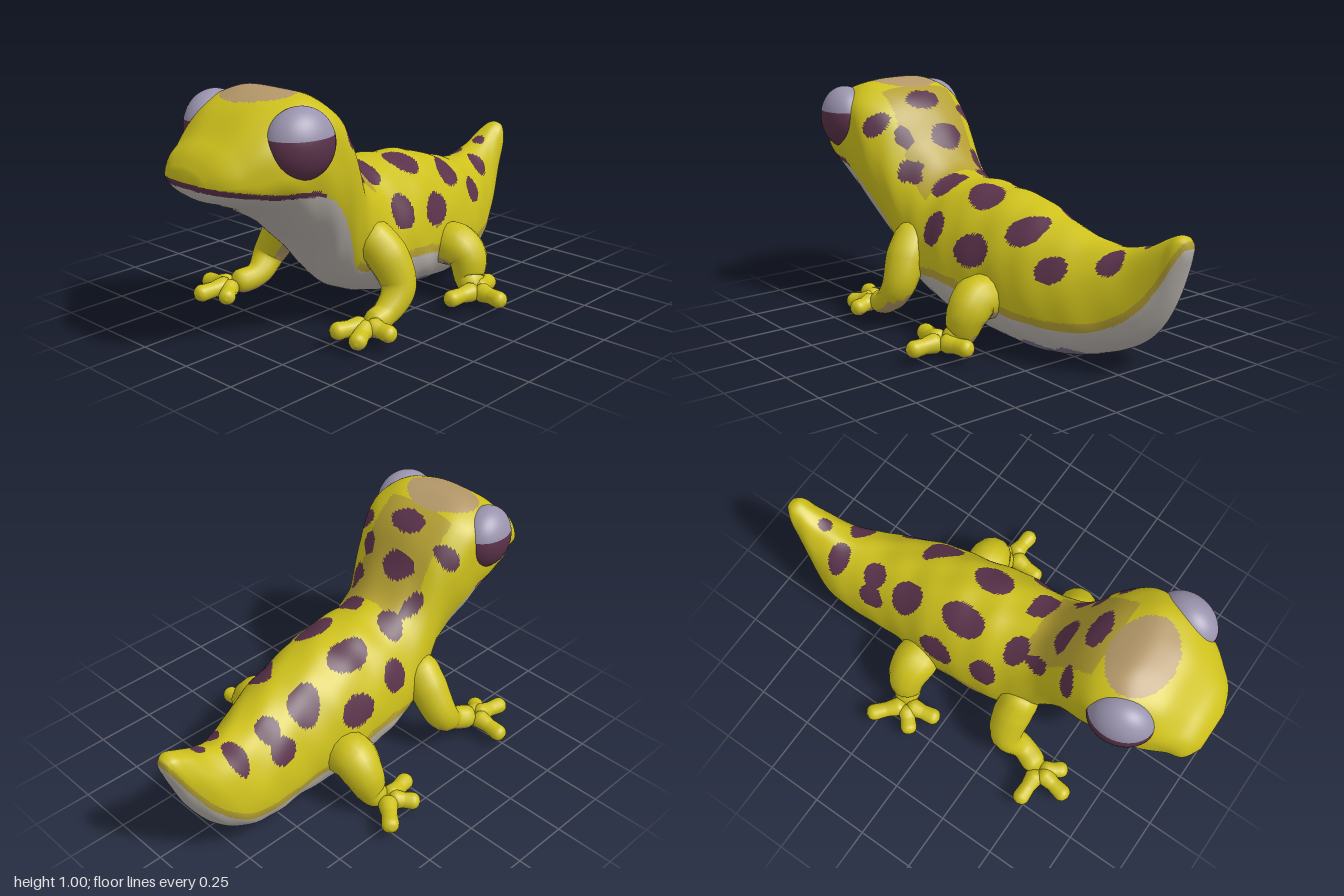
import * as THREE from 'three';
import { mergeVertices } from 'three/addons/utils/BufferGeometryUtils.js';

const COLOURS = {
  yellow: 0xcdc01c, mustard: 0xb5a032, spotPurple: 0x5a324a,
  bellyGrey: 0xb9b3ad, lavender: 0x9a93ae, tan: 0xb39768, underside: 0x77708a,
};
const NAMES = Object.keys(COLOURS);

// Smooth interpolation through rows of [x, ...values]
function profile(rows) {
  const n = rows[0].length - 1;
  const f = new THREE.CubicInterpolant(rows.map(r => r[0]), rows.flatMap(r => r.slice(1)), n, new Float32Array(n));
  return x => Array.from(f.evaluate(x));
}

// Body slices: x, top, bottom, height of widest point, centre z, half width, squareness of the top
const slice = profile([
  [-1, .75, .69, .71, .03, .085, .9], [-.97, .80, .65, .71, .04, .15, .85],
  [-.9, .86, .615, .72, .06, .205, .8], [-.8, .945, .57, .74, .065, .26, .75],
  [-.68, .995, .495, .75, .07, .285, .66], [-.58, .995, .41, .75, .07, .29, .66],
  [-.48, .95, .31, .72, .07, .28, .75], [-.4, .88, .22, .62, .06, .255, .85],
  [-.32, .75, .145, .45, .04, .245, .95], [-.22, .65, .095, .33, .025, .26, 1],
  [0, .625, .045, .26, .015, .275, 1], [.2, .6, .012, .25, -.005, .255, 1],
  [.4, .535, .003, .22, -.01, .228, 1], [.6, .48, .035, .2, -.05, .195, 1],
  [.72, .48, .08, .22, -.08, .162, 1], [.82, .51, .15, .29, -.09, .122, 1],
  [.92, .56, .3, .42, -.092, .075, .9], [.97, .575, .42, .5, -.09, .055, .85], [1, .56, .5, .53, -.09, .028, .8],
]);

// Height of the border between the yellow back and the pale belly
const border = profile([
  [-1, .7], [-.8, .665], [-.6, .635], [-.5, .55], [-.41, .42], [-.33, .26], [-.2, .24], [0, .245],
  [.2, .2], [.4, .165], [.6, .16], [.75, .2], [.85, .28], [.93, .4], [1, .53],
]);

// Spots as [u, v, radius u, radius v], seen along one axis
const SIDE_SPOTS = [[-.09, .44, .06, .068], [.14, .395, .083, .065], [.51, .38, .06, .05], [-.45, .83, .037, .05]];
const LEFT_SPOTS = [[.34, .495, .072, .052], [.71, .43, .05, .042], [-.31, .64, .03, .04], [-.165, .6, .05, .045]];
const TOP_SPOTS = [
  [.07, .1, .09, .065], [.08, -.11, .1, .058], [-.18, -.1, .05, .058], [.35, -.14, .072, .058],
  [.53, -.13, .052, .048], [.71, -.15, .045, .06], [.83, -.08, .028, .03],
];
const BACK_SPOTS = [
  [.06, .92, .085, .035], [.01, .77, .08, .052], [.21, .78, .037, .047], [.22, .64, .036, .046], [-.12, .65, .03, .045],
];
const hit = (spots, u, v) => spots.some(([a, b, r, s]) => ((u - a) / r) ** 2 + ((v - b) / s) ** 2 < 1);

function bodyColour({ x, y, z }, n) {
  const edge = border(x)[0];
  if (x < -.6 && Math.abs(y - edge) < .011) return 'spotPurple'; // mouth line
  if (y < edge) return n.y < -.72 && x > -.25 && x < .6 && y < .08 + .02 * Math.sin(17 * x) ? 'underside' : 'bellyGrey';
  if (Math.abs(n.z) > .3 && hit(SIDE_SPOTS, x, y)) return 'spotPurple';
  if (n.z > .2 && hit(LEFT_SPOTS, x, y)) return 'spotPurple';
  if (x > -.3 && n.y > .15 && hit(TOP_SPOTS, x, z)) return 'spotPurple';
  if (x < -.22 && x > -.62 && n.x > .1 && hit(BACK_SPOTS, z, y)) return 'spotPurple';
  if (x > -.33 && y < edge + .035) return 'mustard';
  if (n.y > .6 && ((x + .64) / .13) ** 2 + ((z - .04) / .17) ** 2 < 1) return 'tan';
  if (x > -.52 && x < -.2 && n.x > .3 && Math.abs(z - .05) < .17) return 'mustard';
  return 'yellow';
}

// Sort triangles into one material group per colour
function paint(geo, pick) {
  const p = geo.attributes.position, idx = geo.index.array;
  const bins = NAMES.map(() => []), t = new THREE.Triangle();
  const c = new THREE.Vector3(), n = new THREE.Vector3();
  for (let i = 0; i < idx.length; i += 3) {
    t.setFromAttributeAndIndices(p, idx[i], idx[i + 1], idx[i + 2]);
    t.getMidpoint(c);
    t.getNormal(n);
    bins[NAMES.indexOf(pick(c, n))].push(idx[i], idx[i + 1], idx[i + 2]);
  }
  geo.setIndex(bins.flat());
  let start = 0;
  bins.forEach((b, k) => {
    if (b.length) geo.addGroup(start, b.length, k);
    start += b.length;
  });
  geo.computeVertexNormals();
  return geo;
}

// Head, trunk and tail as one lofted skin
function bodyGeometry() {
  const N = 220, M = 128, pos = [], idx = [];
  const pow = (v, e) => Math.sign(v) * Math.abs(v) ** e;
  for (let i = 0; i <= N; i++) {
    const x = -1 + 2 * i / N;
    const [top, bot, mid, zc, w, e] = slice(x);
    for (let j = 0; j < M; j++) {
      const a = j / M * Math.PI * 2, s = Math.sin(a), c = Math.cos(a);
      const bump = 1 + .012 * Math.sin(x * 31 + 3 * c) * Math.sin(a * 6 + x * 9);
      const h = s > 0 ? (top - mid) * pow(s, e) : (mid - bot) * s;
      pos.push(x, mid + h * bump, zc + w * pow(c, s > 0 ? e : 1) * bump);
    }
  }
  for (let i = 0; i < N; i++) for (let j = 0; j < M; j++) {
    const k = (j + 1) % M, a = i * M + j, b = a + M, c = (i + 1) * M + k, d = i * M + k;
    idx.push(a, b, c, a, c, d);
  }
  // snout and tail caps
  const first = pos.length / 3, last = first + 1, s0 = slice(-1), s1 = slice(1);
  pos.push(-1, s0[2], s0[3], 1, s1[2], s1[3]);
  for (let j = 0; j < M; j++) {
    const k = (j + 1) % M;
    idx.push(first, j, k, last, N * M + k, N * M + j);
  }
  const g = new THREE.BufferGeometry();
  g.setAttribute('position', new THREE.Float32BufferAttribute(pos, 3));
  g.setIndex(idx);
  return paint(g, bodyColour);
}

// Round-ended limb through points [x, y, z, radius]
function limbGeometry(points) {
  const curve = new THREE.CatmullRomCurve3(points.map(p => new THREE.Vector3(...p)));
  const S = 28, R = 14, g = new THREE.TubeGeometry(curve, S, 1, R);
  const p = g.attributes.position, v = new THREE.Vector3(), len = curve.getLength();
  for (let i = 0; i <= S; i++) {
    const u = i / S, c = curve.getPointAt(u), f = curve.getUtoTmapping(u) * (points.length - 1);
    const k = Math.min(Math.floor(f), points.length - 2);
    const r0 = THREE.MathUtils.lerp(points[k][3], points[k + 1][3], f - k);
    const d = Math.min(1, Math.min(u, 1 - u) * len / r0);
    const r = Math.max(r0 * Math.sqrt(1 - (1 - d) ** 2), .0005);
    for (let j = 0; j <= R; j++) {
      const q = i * (R + 1) + j;
      v.fromBufferAttribute(p, q).sub(c).multiplyScalar(r).add(c);
      p.setXYZ(q, v.x, v.y, v.z);
    }
  }
  g.deleteAttribute('uv');
  g.deleteAttribute('normal');
  return paint(mergeVertices(g, 1e-5), (c, n) => (n.y < -.45 ? 'tan' : 'yellow'));
}

const LEGS = {
  leftFrontLeg: {
    limb: [[-.28, .42, .2, .08], [-.23, .3, .3, .085], [-.22, .18, .35, .07], [-.31, .095, .355, .052], [-.4, .08, .35, .05]],
    toes: [[-.38, .06, .48], [-.53, .05, .41], [-.55, .08, .3]],
  },
  rightFrontLeg: {
    limb: [[-.28, .42, -.15, .08], [-.27, .3, -.25, .085], [-.29, .18, -.32, .07], [-.37, .11, -.31, .052], [-.48, .085, -.35, .055]],
    toes: [[-.48, .06, -.52], [-.65, .075, -.38], [-.58, .06, -.27]],
  },
  leftHindLeg: {
    limb: [[.22, .2, .15, .09], [.23, .225, .28, .095], [.24, .18, .33, .085], [.22, .09, .36, .06], [.19, .07, .42, .05]],
    toes: [[.02, .065, .395], [.18, .06, .575], [.34, .065, .38]],
  },
  rightHindLeg: {
    limb: [[.22, .2, -.15, .09], [.22, .23, -.29, .1], [.22, .18, -.35, .085], [.2, .09, -.39, .06], [.17, .07, -.44, .05]],
    toes: [[.01, .065, -.41], [.08, .06, -.54], [.29, .065, -.575]],
  },
};

export function createModel() {
  const model = new THREE.Group();
  model.name = 'gecko';
  const mats = NAMES.map(name => {
    const m = new THREE.MeshStandardMaterial({ color: COLOURS[name] });
    m.name = name;
    return m;
  });
  const add = (parent, name, geo, mat = mats) => {
    const m = new THREE.Mesh(geo, mat);
    m.name = name;
    parent.add(m);
    return m;
  };
  add(model, 'body', bodyGeometry());

  // Legs, each with three splayed toes
  for (const [name, { limb, toes }] of Object.entries(LEGS)) {
    const leg = new THREE.Group();
    leg.name = name;
    add(leg, 'limb', limbGeometry(limb));
    const [px, py, pz] = limb[limb.length - 1];
    toes.forEach(([x, y, z], i) => {
      const mid = [(px + x) / 2, (py + y) / 2, (pz + z) / 2, .033];
      add(leg, 'toe' + (i + 1), limbGeometry([[px, py, pz, .048], mid, [x, y, z, .039]]));
    });
    model.add(leg);
  }

  // Bulging eyes: pale upper lid over a dark lower half
  for (const side of [1, -1]) {
    const eye = new THREE.Group();
    eye.name = side > 0 ? 'leftEye' : 'rightEye';
    const split = 1.33;
    add(eye, 'eyelid', new THREE.SphereGeometry(1, 40, 16, 0, Math.PI * 2, 0, split), mats[NAMES.indexOf('lavender')]);
    add(eye, 'eyeball', new THREE.SphereGeometry(1, 40, 20, 0, Math.PI * 2, split, Math.PI - split), mats[NAMES.indexOf('spotPurple')]);
    eye.scale.set(.135, .135, .105);
    eye.position.set(-.69, .838, .07 + side * .232);
    eye.rotation.y = -.2 * side;
    model.add(eye);
  }
  return model;
}
